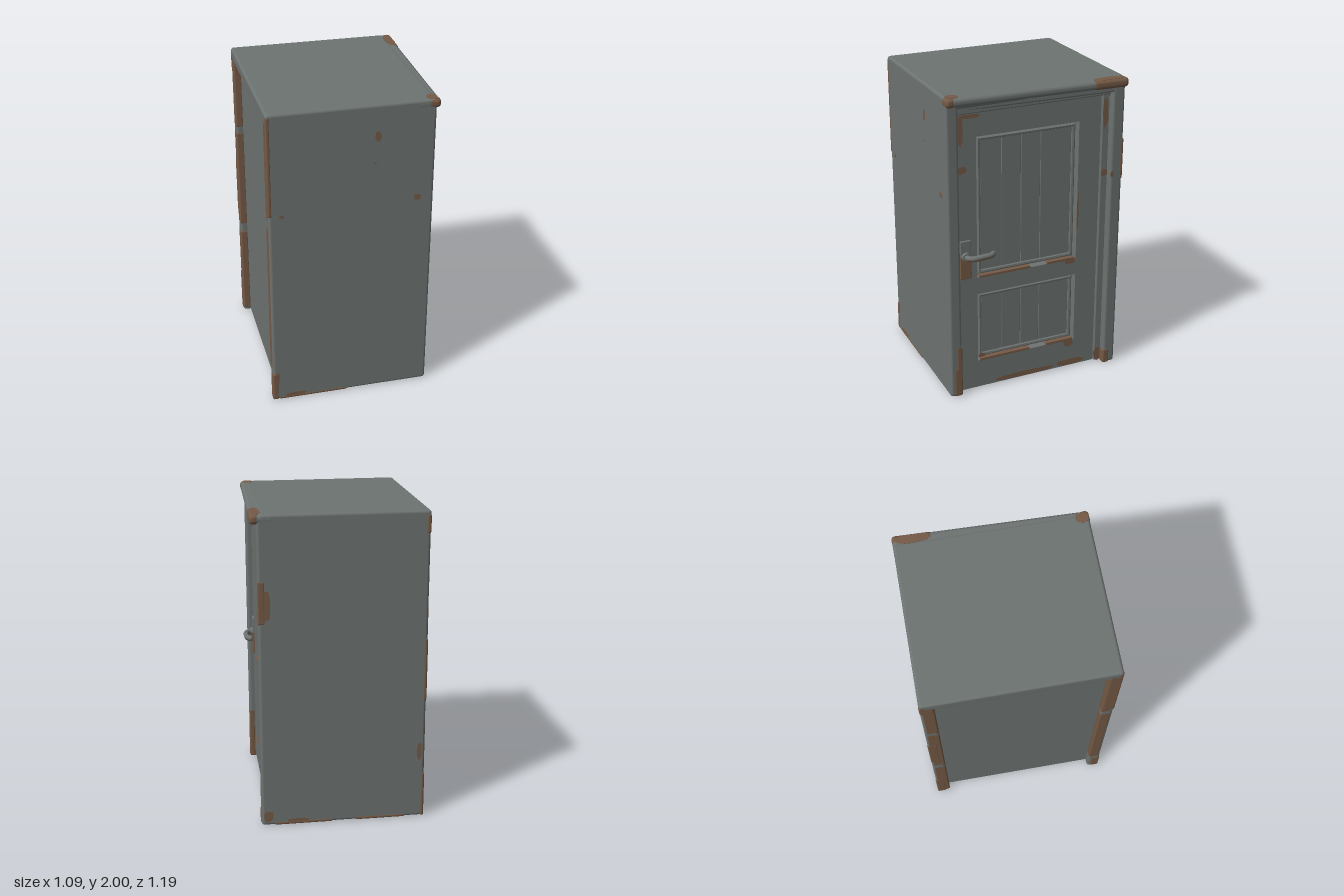
import * as THREE from 'three';
import { RoundedBoxGeometry } from 'three/addons/geometries/RoundedBoxGeometry.js';

export function createModel() {
  const model = new THREE.Group();
  model.name = 'cabinet';
  const paint = new THREE.MeshStandardMaterial({ name: 'grey paint', color: 0x6d7371 });
  const wear = new THREE.MeshStandardMaterial({ name: 'worn brown', color: 0x755a46 });
  const gap = new THREE.MeshStandardMaterial({ name: 'dark gap', color: 0x4a504d });

  let seed = 7;
  const rand = () => (seed = (seed * 16807) % 2147483647) / 2147483647;

  function add(name, geometry, material) {
    const mesh = new THREE.Mesh(geometry, material);
    mesh.name = name;
    model.add(mesh);
    return mesh;
  }

  // Box given by its limits, rounded when r > 0
  function box(name, x0, x1, y0, y1, z0, z1, r = 0, material = paint) {
    const s = [x1 - x0, y1 - y0, z1 - z0];
    const g = r ? new RoundedBoxGeometry(...s, 3, r) : new THREE.BoxGeometry(...s);
    g.translate((x0 + x1) / 2, (y0 + y1) / 2, (z0 + z1) / 2);
    return add(name, g, material);
  }

  // The cornice leans outward towards the back
  function lean(mesh) {
    const p = mesh.geometry.attributes.position;
    for (let i = 0; i < p.count; i++) if (p.getX(i) > 0.3) p.setX(i, p.getX(i) - 0.028 * p.getZ(i));
    return mesh;
  }

  // Thin irregular chip of worn paint lying on a face
  const turns = { front: [0, 0], right: [0, Math.PI / 2], back: [0, Math.PI], left: [0, -Math.PI / 2], top: [-Math.PI / 2, 0] };
  function chip(face, x, y, z, w, h) {
    const pts = [];
    for (let i = 0; i < 16; i++) {
      const a = (i / 16) * Math.PI * 2, k = 0.85 + 0.2 * rand();
      const soft = (v) => Math.sign(v) * Math.abs(v) ** 0.8;
      pts.push(new THREE.Vector2(soft(Math.cos(a)) * k * w / 2, soft(Math.sin(a)) * k * h / 2));
    }
    const g = new THREE.ExtrudeGeometry(new THREE.Shape(pts), { depth: 0.002, bevelEnabled: false });
    const m = add('wornChip', g, wear);
    m.rotation.set(turns[face][0], turns[face][1], 0);
    m.position.set(x, y, z);
  }

  // Carcass
  box('carcassCore', -0.495, 0.38, 0.015, 1.97, -0.56, 0.56);
  box('frontWall', -0.54, 0.487, 0, 1.99, 0.51, 0.59, 0.018);
  box('backWall', -0.54, 0.503, 0, 1.99, -0.59, -0.505, 0.018);
  box('roof', -0.543, 0.487, 1.925, 2, -0.59, 0.59, 0.018);

  // Cornice and door head
  lean(box('cornice', 0.38, 0.527, 1.943, 1.998, -0.591, 0.591, 0.024));
  lean(box('corniceBead', 0.37, 0.487, 1.905, 1.95, -0.575, 0.575, 0.012));
  box('doorHead', 0.37, 0.474, 1.885, 1.94, -0.53, 0.53, 0.008);
  box('hingeJamb', 0.37, 0.458, 0.005, 1.9, -0.515, -0.46, 0.006);
  box('doorGap', 0.37, 0.39, 0.005, 1.89, -0.5, 0.515, 0, gap);

  // Door frame with two openings
  const D = 0.447;
  const openings = [
    { z0: -0.305, z1: 0.385, y0: 0.8, y1: 1.73 },
    { z0: -0.305, z1: 0.385, y0: 0.205, y1: 0.685 },
  ];
  const rect = (C, z0, z1, y0, y1) => {
    const s = new C();
    s.moveTo(-z1, y0); s.lineTo(-z0, y0); s.lineTo(-z0, y1); s.lineTo(-z1, y1); s.closePath();
    return s;
  };
  const frame = rect(THREE.Shape, -0.455, 0.504, 0.01, 1.88);
  openings.forEach((o) => frame.holes.push(rect(THREE.Path, o.z0, o.z1, o.y0, o.y1)));
  const frameGeo = new THREE.ExtrudeGeometry(frame, { depth: 0.055, bevelEnabled: false });
  frameGeo.rotateY(Math.PI / 2).translate(D - 0.055, 0, 0);
  add('doorFrame', frameGeo, paint);

  // Stepped moulding: rings of [inset, depth] joined by quads
  const profile = [[0, 0], [0.01, -0.033], [0.022, -0.02], [0.034, -0.022], [0.042, -0.04]];
  function moulding(o) {
    const rings = profile.map(([i, d]) => [
      [D + d, o.y0 + i, o.z1 - i], [D + d, o.y0 + i, o.z0 + i],
      [D + d, o.y1 - i, o.z0 + i], [D + d, o.y1 - i, o.z1 - i],
    ]);
    const v = [];
    for (let r = 0; r < rings.length - 1; r++) for (let k = 0; k < 4; k++) {
      const n = (k + 1) % 4, A = rings[r], B = rings[r + 1];
      v.push(...A[k], ...A[n], ...B[n], ...A[k], ...B[n], ...B[k]);
    }
    const g = new THREE.BufferGeometry();
    g.setAttribute('position', new THREE.Float32BufferAttribute(v, 3));
    g.computeVertexNormals();
    add('panelMoulding', g, paint);
  }

  // Planks in each opening with narrow dark joints, and a worn lower ledge
  for (const o of openings) {
    moulding(o);
    box('plankBacking', 0.375, 0.408, o.y0 + 0.03, o.y1 - 0.03, o.z0 + 0.03, o.z1 - 0.03, 0, gap);
    const edges = [o.z0 + 0.036, -0.058, 0.074, 0.205, o.z1 - 0.036];
    for (let i = 0; i < 4; i++) {
      box('plank', 0.385, 0.416, o.y0 + 0.036, o.y1 - 0.036, edges[i] + 0.001, edges[i + 1] - 0.001, 0.003);
    }
    for (const [z0, z1] of [[-0.295, -0.1], [0.02, 0.37]]) {
      box('wornSill', D - 0.033, D + 0.001, o.y0 - 0.004, o.y0 + 0.011, z0, z1, 0, wear);
    }
  }

  // Lock plate and lever handle, worn underneath
  box('lockPlate', 0.43, 0.458, 0.96, 1.07, 0.427, 0.5, 0.006);
  box('wornLockPlate', 0.43, 0.459, 0.81, 0.97, 0.425, 0.502, 0.006, wear);
  const lever = new THREE.CatmullRomCurve3([
    [0.445, 0.965, 0.465], [0.485, 0.965, 0.46], [0.505, 0.965, 0.43],
    [0.508, 0.968, 0.37], [0.503, 0.968, 0.315], [0.485, 0.968, 0.292],
  ].map((p) => new THREE.Vector3(...p)));
  add('leverHandle', new THREE.TubeGeometry(lever, 28, 0.017, 12), paint);
  add('wornLeverUnderside', new THREE.TubeGeometry(lever, 28, 0.016, 12), wear).position.y = -0.004;
  const tip = add('leverTip', new THREE.SphereGeometry(0.017, 12, 8), paint);
  tip.position.set(0.485, 0.968, 0.292);
  const rose = add('leverRose', new THREE.CylinderGeometry(0.026, 0.03, 0.02, 16), paint);
  rose.rotation.z = -Math.PI / 2;
  rose.position.set(0.465, 0.965, 0.465);

  // Worn cornice end and corners
  lean(box('wornCorniceEnd', 0.47, 0.529, 1.941, 2.001, -0.593, -0.35, 0.024, wear));
  lean(box('wornCorniceCorner', 0.445, 0.529, 1.942, 2.0005, 0.535, 0.593, 0.024, wear));
  chip('top', 0.505, 1.9995, -0.47, 0.06, 0.21);
  chip('top', 0.465, 1.9995, 0.545, 0.07, 0.08);

  // Worn wall edges: [x0, x1, y0, y1, z0, z1]
  [
    // front post, facing left
    [-0.543, -0.518, 1.34, 1.985, 0.515, 0.592],
    [-0.543, -0.505, 0, 0.2, 0.53, 0.592],
    [-0.5415, -0.49, 0.24, 1.26, 0.5085, 0.578],
    [-0.5415, -0.49, 1.3, 1.92, 0.5085, 0.57],
    // back post, facing left
    [-0.5415, -0.49, 1.46, 1.95, -0.58, -0.5035],
    [-0.543, -0.515, 1.86, 1.975, -0.592, -0.51],
    [-0.5415, -0.49, 0.72, 1.42, -0.582, -0.5035],
    [-0.5415, -0.49, 0.02, 0.66, -0.582, -0.5035],
    [-0.543, -0.52, 0.8, 1.2, -0.592, -0.53],
    [-0.543, -0.52, 0, 0.3, -0.592, -0.53],
    // bottom edges
    [-0.5, -0.05, -0.001, 0.022, 0.54, 0.592],
    [-0.42, -0.1, -0.001, 0.022, -0.592, -0.54],
    [0.05, 0.42, -0.001, 0.022, -0.592, -0.54],
    // jambs beside the door
    [0.455, 0.505, -0.001, 0.1, -0.55, -0.503],
    [0.45, 0.489, 0, 0.2, 0.508, 0.562],
    [0.45, 0.489, 0.15, 0.36, 0.508, 0.545],
    [0.46, 0.505, 1.33, 1.6, -0.592, -0.57],
  ].forEach((b) => box('wornEdge', ...b, 0.01, wear));

  // Scattered chips
  [
    ['front', 0.13, 1.8, 0.589, 0.04, 0.07], ['front', 0.385, 1.37, 0.589, 0.05, 0.04],
    ['front', -0.46, 1.34, 0.589, 0.03, 0.025], ['front', 0.115, 1.63, 0.589, 0.015, 0.012],
    ['front', -0.4, 0.025, 0.589, 0.14, 0.03], ['front', -0.51, 0.17, 0.589, 0.03, 0.08],
    ['back', 0.455, 1.45, -0.589, 0.06, 0.2], ['back', -0.505, 0.45, -0.589, 0.03, 0.12],
    ['back', 0.27, 0.025, -0.589, 0.14, 0.03], ['back', 0.46, 0.06, -0.589, 0.06, 0.08],
    ['right', D - 0.001, 1.78, 0.485, 0.035, 0.2], ['right', D - 0.001, 1.862, 0.43, 0.14, 0.03],
    ['right', D - 0.001, 1.53, 0.48, 0.065, 0.05], ['right', D - 0.001, 0.185, -0.265, 0.075, 0.065],
    ['right', D - 0.001, 0.03, 0.06, 0.44, 0.035], ['right', D - 0.001, 0.035, -0.28, 0.2, 0.045],
    ['right', D - 0.001, 0.788, -0.265, 0.08, 0.035], ['right', D - 0.001, 1.12, -0.31, 0.012, 0.28],
    ['right', D - 0.02, 0.228, 0.35, 0.05, 0.03], ['right', 0.457, 1.37, -0.485, 0.05, 0.05],
    ['right', 0.457, 1.77, -0.48, 0.035, 0.2], ['right', 0.457, 0.055, -0.48, 0.05, 0.1],
    ['right', 0.502, 1.37, -0.518, 0.025, 0.04],
  ].forEach((c) => chip(...c));

  return model;
}
